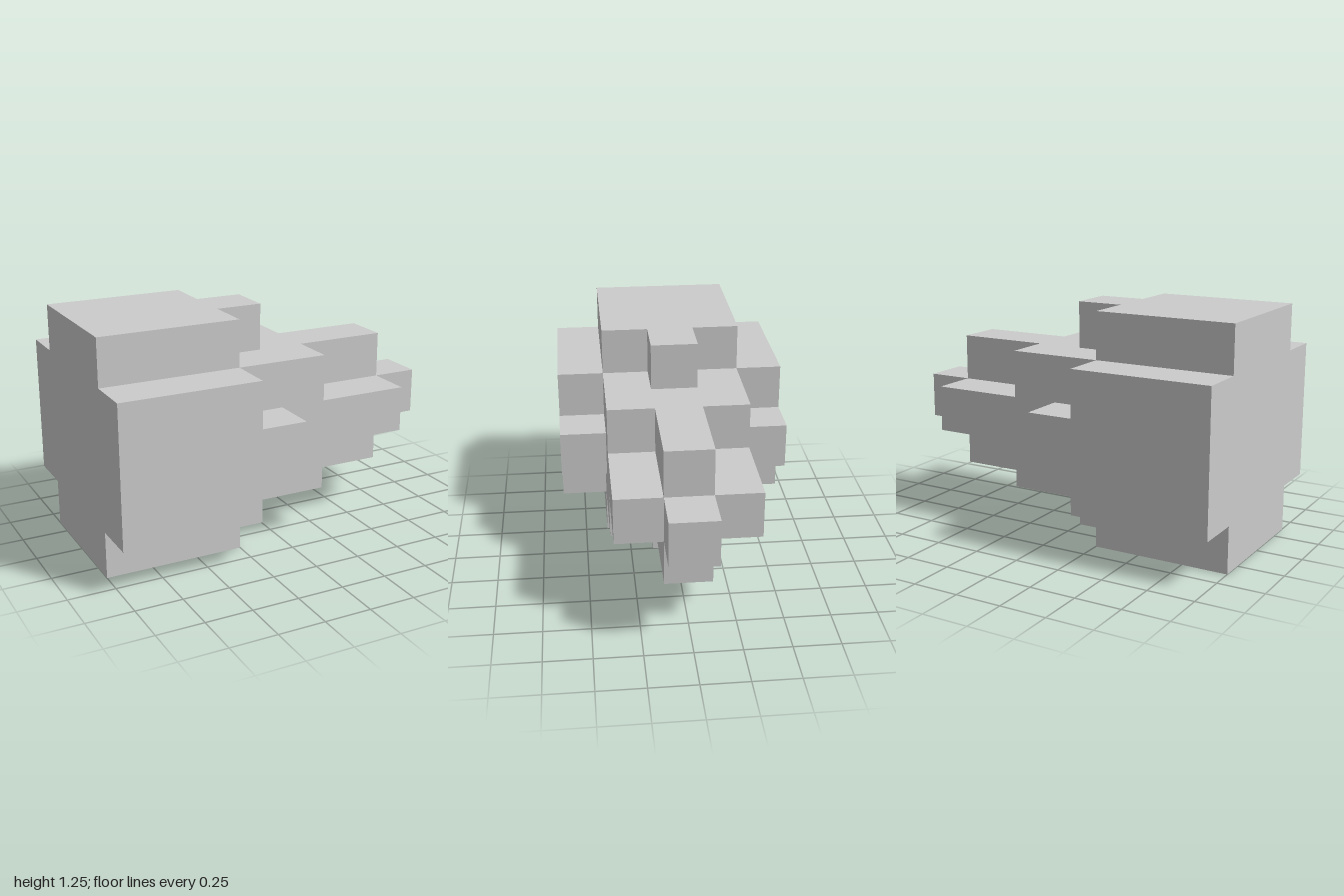
import * as THREE from 'three';

const CELL = 0.25;      // edge of one block
const CENTER_Y = 0.625; // height of the long axis

const material = new THREE.MeshStandardMaterial({ color: 0xcccccc, flatShading: true });

// Stepped cross-section: one quarter of the outline, in cells, turned four times,
// then extruded along x from block column start to end.
function section(name, quarter, start, end) {
  const points = [];
  for (let turn = 0; turn < 4; turn++) {
    for (const corner of quarter) {
      let [u, v] = corner;
      for (let i = 0; i < turn; i++) [u, v] = [-v, u];
      points.push(new THREE.Vector2(u * CELL, v * CELL));
    }
  }
  const geometry = new THREE.ExtrudeGeometry(new THREE.Shape(points), {
    depth: (end - start) * CELL,
    bevelEnabled: false,
  });
  geometry.rotateY(Math.PI / 2);
  geometry.translate(-1 + start * CELL, CENTER_Y, 0);
  const mesh = new THREE.Mesh(geometry, material);
  mesh.name = name;
  return mesh;
}

export function createModel() {
  const model = new THREE.Group();
  model.name = 'steppedBlockModel';
  model.add(
    // wide block with notched corners
    section('body', [[2.5, 1.5], [1.5, 1.5], [1.5, 2.5]], 0, 3),
    // square core with a single tab on each side
    section('tabbedCollar', [[2.5, 0.5], [1.5, 0.5], [1.5, 1.5], [0.5, 1.5], [0.5, 2.5]], 3, 4),
    // plain square core
    section('neck', [[1.5, 1.5]], 4, 5),
    // plus-shaped nose
    section('ribbedNose', [[1.5, 0.5], [0.5, 0.5], [0.5, 1.5]], 5, 7),
    // single end block
    section('tip', [[0.5, 0.5]], 7, 8),
  );
  return model;
}
